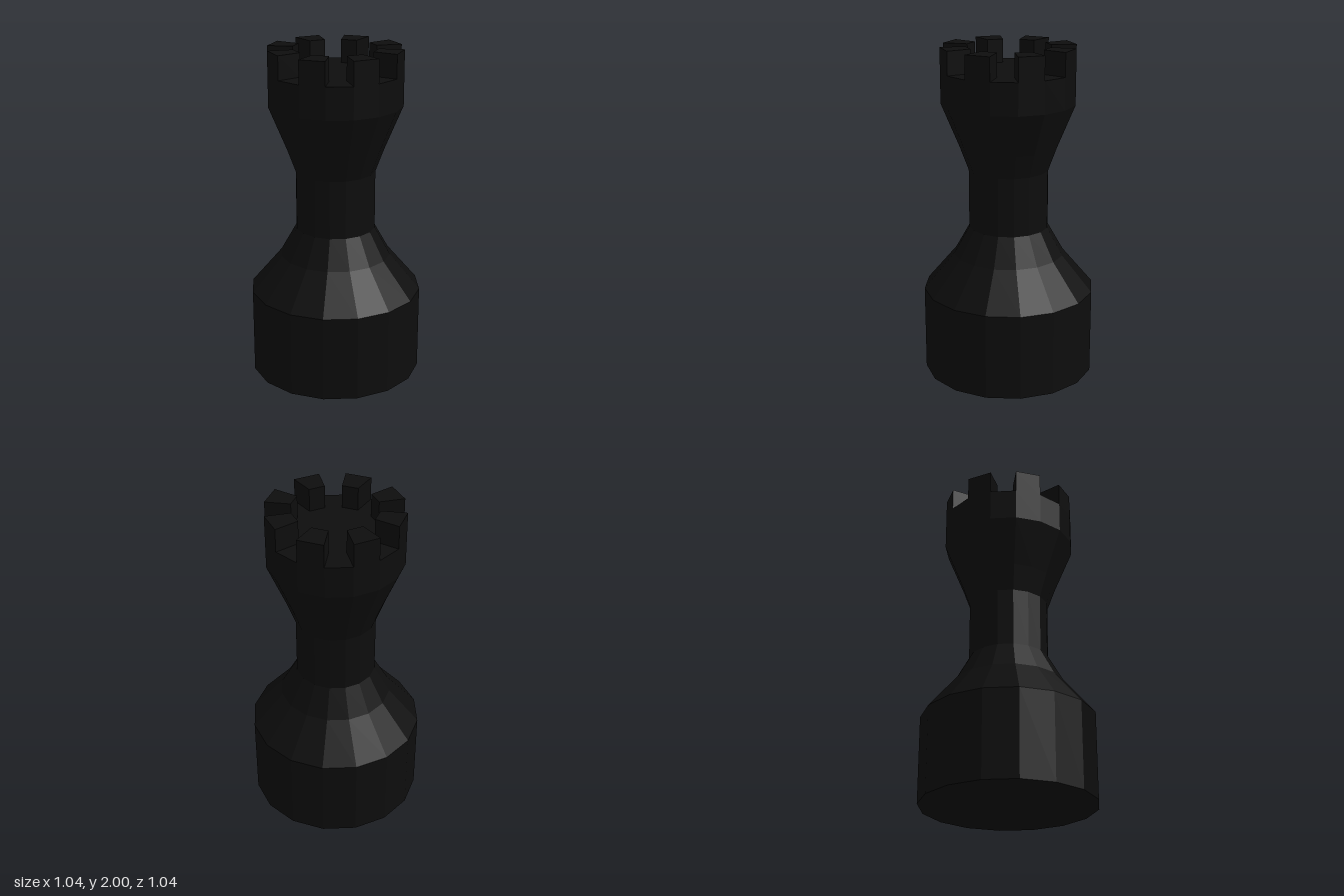
import * as THREE from 'three';

const SIDES = 16;
const STEP = (Math.PI * 2) / SIDES;
const RIM_Y = 1.86, TOP_Y = 2, RIM_R = 0.4, INNER_R = 0.25;

// Faceted solid of revolution from [radius, height] pairs, bottom to top
function turned(name, profile, material) {
  const points = profile.map(([r, y]) => new THREE.Vector2(r, y));
  const mesh = new THREE.Mesh(new THREE.LatheGeometry(points, SIDES), material);
  mesh.name = name;
  return mesh;
}

// One wedge-shaped battlement spanning a single side of the tower
function battlementGeometry() {
  const corner = (r, a) => new THREE.Vector2(r * Math.sin(a), -r * Math.cos(a));
  const shape = new THREE.Shape([
    corner(INNER_R, 0), corner(RIM_R, 0), corner(RIM_R, STEP), corner(INNER_R, STEP),
  ]);
  const geometry = new THREE.ExtrudeGeometry(shape, { depth: TOP_Y - RIM_Y, bevelEnabled: false });
  return geometry.rotateX(-Math.PI / 2).translate(0, RIM_Y, 0);
}

export function createModel() {
  const black = new THREE.MeshStandardMaterial({ color: 0x0d0d0d });
  black.name = 'black';
  black.flatShading = true;

  const model = new THREE.Group();
  model.name = 'chessRook';

  // Heavy foot with sloping shoulder, narrow stem, flared tower head
  model.add(
    turned('base', [[0, 0], [0.52, 0], [0.52, 0.52], [0.335, 0.74], [0.24, 0.91]], black),
    turned('stem', [[0.24, 0.91], [0.24, 1.265]], black),
    turned('head', [[0.24, 1.265], [0.293, 1.41], [RIM_R, 1.67], [RIM_R, RIM_Y], [0, RIM_Y]], black),
  );

  // Battlements on every other side
  const battlements = new THREE.Group();
  battlements.name = 'battlements';
  const wedge = battlementGeometry();
  for (let i = 1; i < SIDES; i += 2) {
    const mesh = new THREE.Mesh(wedge, black);
    mesh.name = 'battlement';
    mesh.rotation.y = i * STEP;
    battlements.add(mesh);
  }
  model.add(battlements);
  return model;
}
